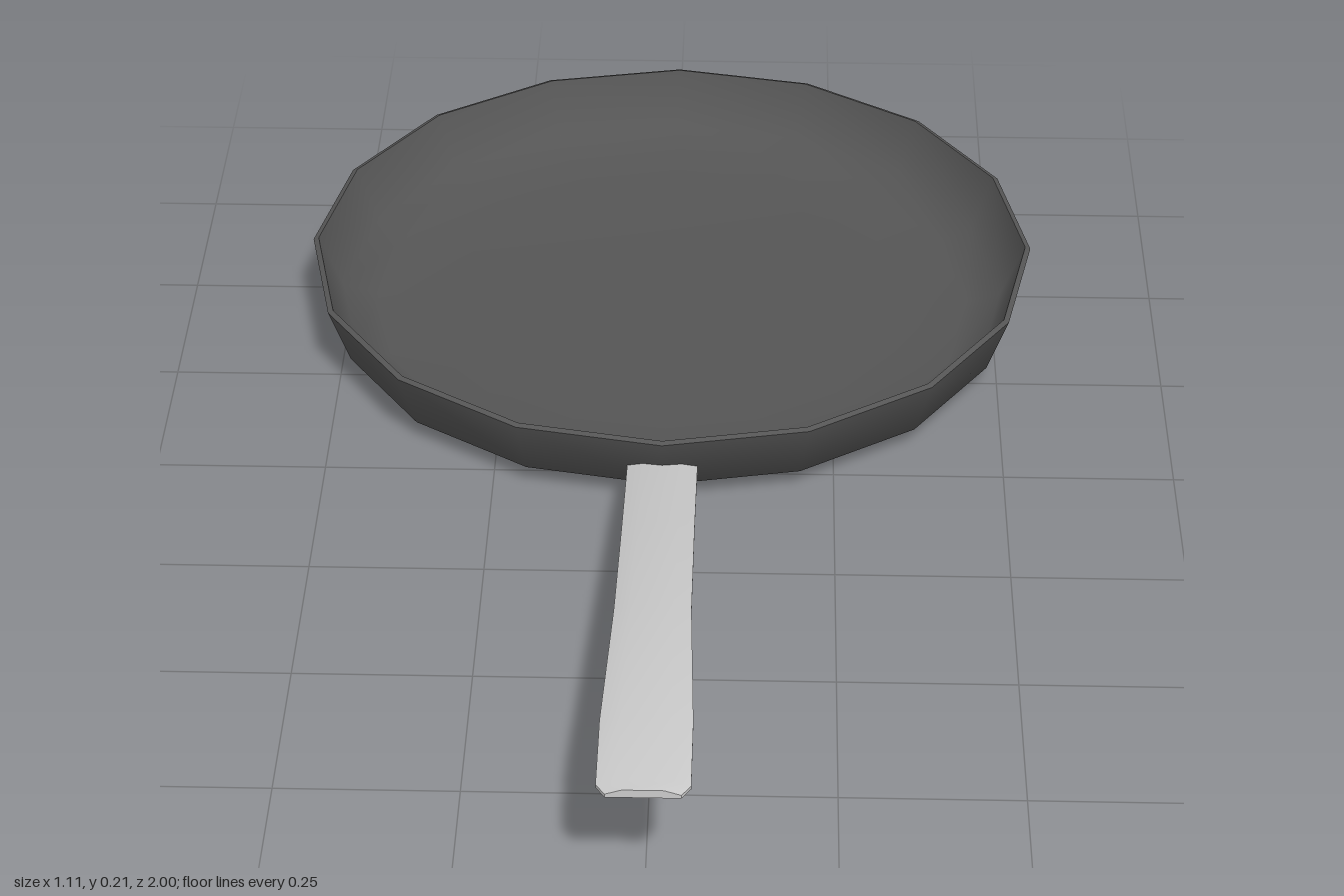
import * as THREE from 'three';
import { toCreasedNormals } from 'three/addons/utils/BufferGeometryUtils.js';

const PAN_Z = -0.445;

// Low-poly pan: one closed profile, outside then inside, turned in 16 steps
function makePan() {
  const profile = [
    [0, 0], [0.35, 0.002], [0.47, 0.012], [0.523, 0.032], [0.555, 0.122],
    [0.547, 0.125], [0.512, 0.04], [0.46, 0.024], [0.35, 0.018], [0, 0.018],
  ].map(([r, y]) => new THREE.Vector2(r, y));
  const pan = new THREE.Mesh(
    toCreasedNormals(new THREE.LatheGeometry(profile, 16), 1.2),
    new THREE.MeshStandardMaterial({ color: 0x555555, side: THREE.DoubleSide })
  );
  pan.name = 'pan';
  pan.position.z = PAN_Z;
  return pan;
}

// Handle: a shallow arched strap lofted along stations of [z, edge y, half width]
function makeHandle() {
  const stations = [
    [0.08, 0.062, 0.051], [0.3, 0.111, 0.051], [0.57, 0.166, 0.052],
    [0.85, 0.197, 0.06], [0.98, 0.197, 0.06], [1.0, 0.198, 0.048],
  ];
  // Cross-section as [share of half width, height], counter-clockwise from the front
  const section = [
    [-1, 0], [-0.55, 0.001], [0.55, 0.001], [1, 0],
    [1, 0.005], [0.55, 0.012], [-0.55, 0.012], [-1, 0.005],
  ];
  const n = section.length;
  const positions = [];
  const index = [];
  for (const [z, y, w] of stations) {
    for (const [u, h] of section) positions.push(u * w, y + h, z);
  }
  for (let s = 0; s < stations.length - 1; s++) {
    for (let i = 0; i < n; i++) {
      const a = s * n + i, b = s * n + (i + 1) % n;
      index.push(a, b, b + n, a, b + n, a + n);
    }
  }
  // End caps
  const last = (stations.length - 1) * n;
  for (let i = 1; i < n - 1; i++) {
    index.push(0, i + 1, i, last, last + i, last + i + 1);
  }
  const geometry = new THREE.BufferGeometry();
  geometry.setAttribute('position', new THREE.Float32BufferAttribute(positions, 3));
  geometry.setIndex(index);
  const handle = new THREE.Mesh(
    toCreasedNormals(geometry, 0.7),
    new THREE.MeshStandardMaterial({ color: 0xcccccc })
  );
  handle.name = 'handle';
  return handle;
}

export function createModel() {
  const model = new THREE.Group();
  model.name = 'fryingPan';
  model.add(makePan(), makeHandle());
  return model;
}
